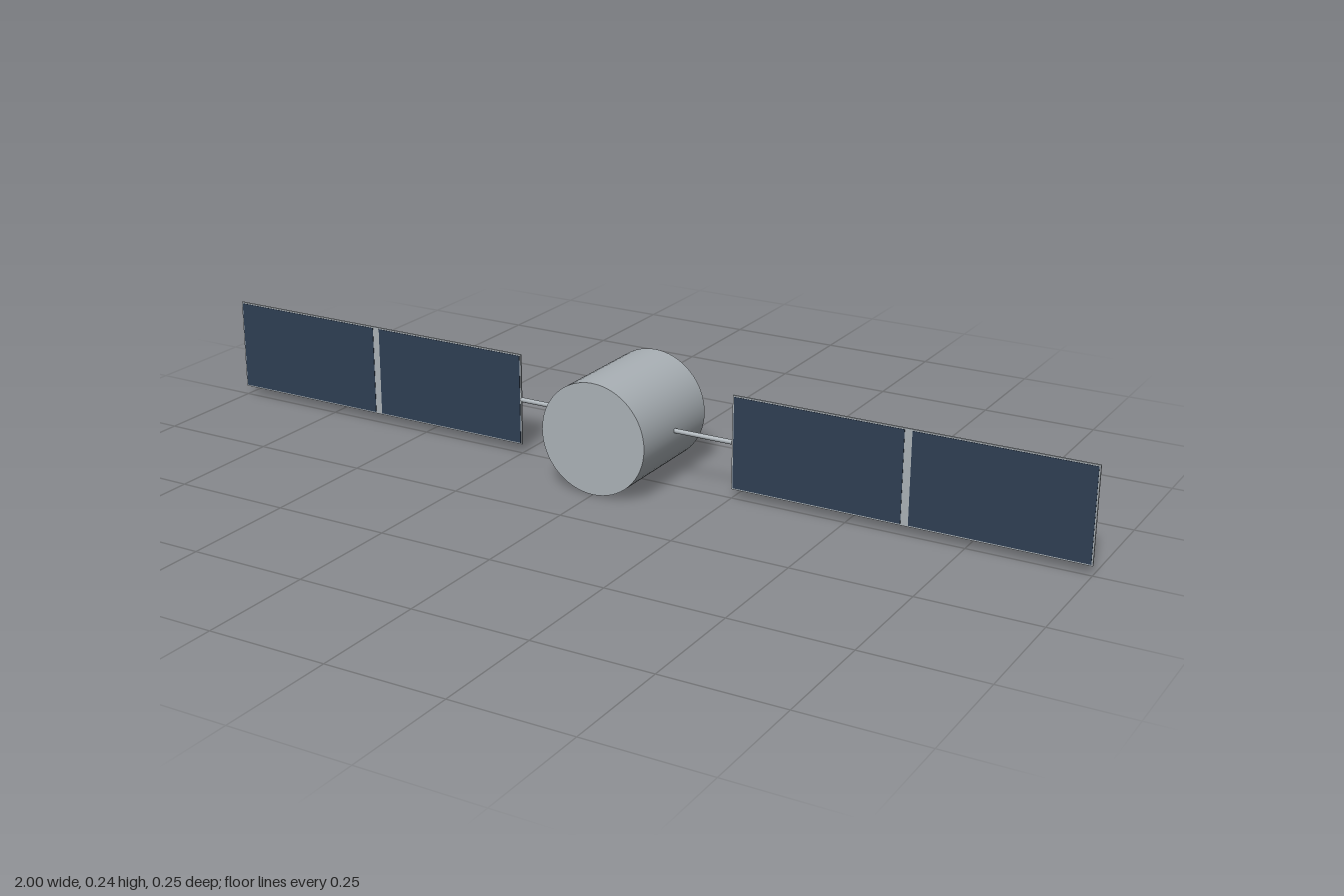
import * as THREE from 'three';

const grey = new THREE.MeshStandardMaterial({ name: 'satin grey', color: 0xaab1b6 });
const navy = new THREE.MeshStandardMaterial({ name: 'solar navy', color: 0x2e3e53 });

const R = 0.119; // body radius, also the height of the axis

function add(parent, name, geometry, material, x = 0, y = 0, z = 0) {
  const mesh = new THREE.Mesh(geometry, material);
  mesh.name = name;
  mesh.position.set(x, y, z);
  parent.add(mesh);
  return mesh;
}

// One wing: boom, backing panel and two solar cells on the front face
function createWing(side) {
  const wing = new THREE.Group();
  wing.name = side > 0 ? 'leftWing' : 'rightWing';

  const boom = new THREE.CylinderGeometry(0.005, 0.005, 0.15, 20).rotateZ(Math.PI / 2);
  add(wing, 'boom', boom, grey, side * 0.175);
  add(wing, 'panel', new THREE.BoxGeometry(0.75, 0.2, 0.004), grey, side * 0.625);

  for (const x of [0.435, 0.815]) {
    add(wing, 'solarCell', new THREE.BoxGeometry(0.364, 0.194, 0.001), navy, side * x, 0, 0.0023);
  }
  return wing;
}

export function createModel() {
  const model = new THREE.Group();
  model.name = 'satellite';

  // Drum body lying along z
  const drum = new THREE.CylinderGeometry(R, R, 0.252, 64).rotateX(Math.PI / 2);
  add(model, 'body', drum, grey, 0, R, 0);

  for (const side of [-1, 1]) {
    const wing = createWing(side);
    wing.position.y = R + 0.001;
    model.add(wing);
  }
  return model;
}
